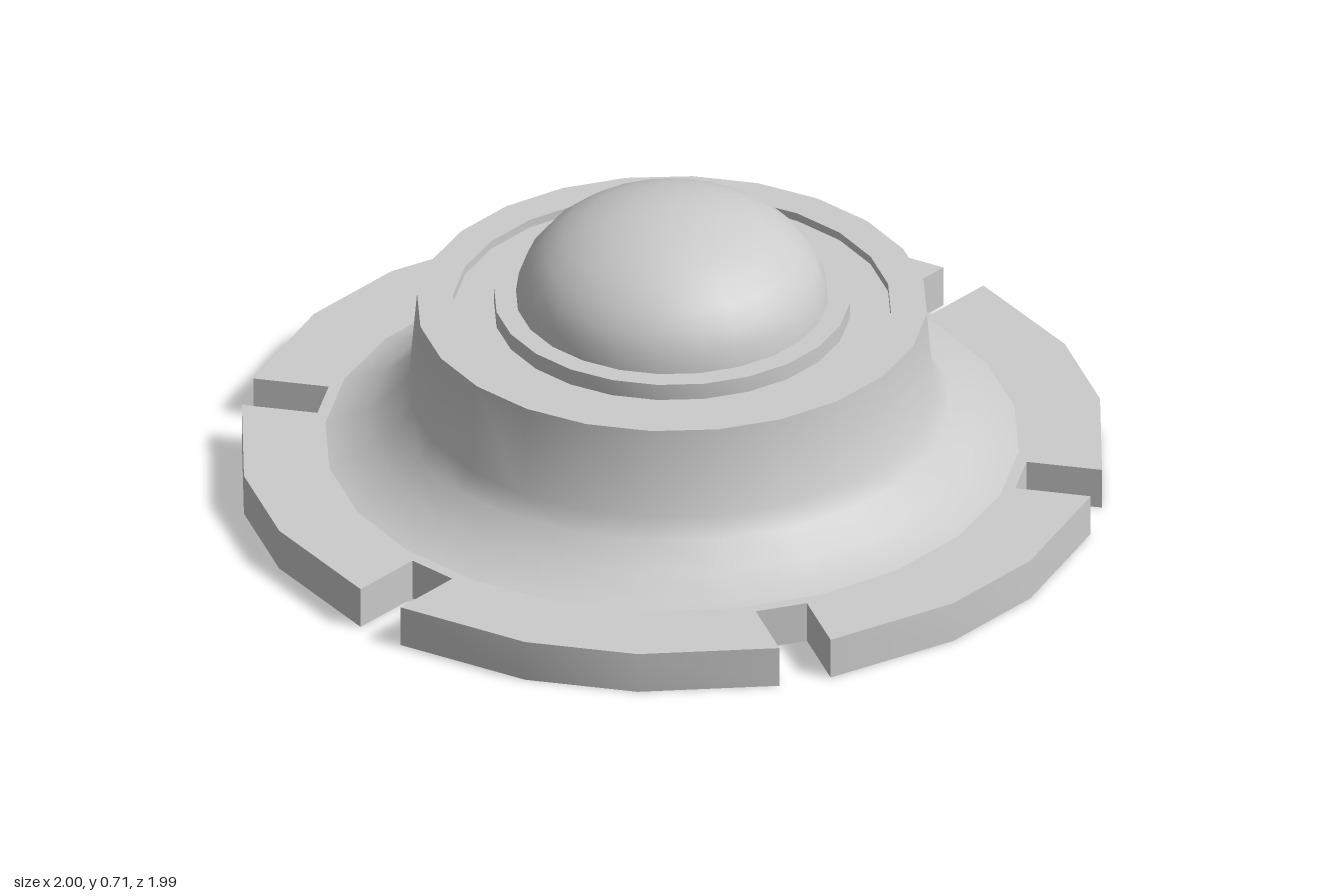
import * as THREE from 'three';
import { toCreasedNormals } from 'three/addons/utils/BufferGeometryUtils.js';

const SIDES = 24, TURN = -2; // the whole part is turned slightly about its axis
const RIM_Y = 0.1, SKIRT_R = 0.8;
const rad = THREE.MathUtils.degToRad;

export function createModel() {
  const group = new THREE.Group();
  const material = new THREE.MeshStandardMaterial({ color: 0xcccccc, side: THREE.DoubleSide });
  const add = (name, geometry, crease = 0.62) => {
    const mesh = new THREE.Mesh(toCreasedNormals(geometry, crease), material);
    mesh.name = name;
    group.add(mesh);
  };
  const lathe = (points) => new THREE.LatheGeometry(
    points.map(([r, y]) => new THREE.Vector2(r, y)), SIDES, rad(97.5 - TURN - 0.0 - 3 + 3));

  // Point on the plan at a radius and angle, in (x, z)
  const polar = (r, deg) => new THREE.Vector2(r * Math.cos(rad(deg)), r * Math.sin(rad(deg)));

  // Flange outline: six arcs separated by square-ended slots
  const outline = [];
  for (let i = 0; i < 6; i++) {
    const a = TURN + i * 60;
    outline.push(polar(1, a - 3.55), polar(0.823, a - 4.3), polar(0.823, a + 4.3),
      polar(1, a + 3.55), polar(1, a + 22.4), polar(1, a + 37.6));
  }

  // Flange top, a thin plate with a hole for the housing
  const shape = new THREE.Shape(outline.map((p) => new THREE.Vector2(p.x, -p.y)));
  const hole = [];
  for (let i = 0; i < SIDES; i++) {
    const p = polar(SKIRT_R, TURN + 7.5 + i * 15);
    hole.push(new THREE.Vector2(p.x, -p.y));
  }
  shape.holes.push(new THREE.Path(hole));
  add('flangeTop', new THREE.ShapeGeometry(shape).rotateX(-Math.PI / 2).translate(0, RIM_Y, 0));

  // Rim wall, following the outline and the slots; open underneath
  const positions = [];
  outline.forEach((p, i) => {
    const q = outline[(i + 1) % outline.length];
    positions.push(
      p.x, 0, p.y, p.x, RIM_Y, p.y, q.x, RIM_Y, q.y,
      p.x, 0, p.y, q.x, RIM_Y, q.y, q.x, 0, q.y);
  });
  const wall = new THREE.BufferGeometry();
  wall.setAttribute('position', new THREE.Float32BufferAttribute(positions, 3));
  add('flangeRim', wall);

  // Housing: flared skirt, tapered wall, top lip, groove and inner ring
  add('housing', lathe([
    [SKIRT_R, RIM_Y], [0.77, 0.108], [0.7, 0.142], [0.64, 0.193], [0.607, 0.238],
    [0.588, 0.455], [0.505, 0.455], [0.505, 0.435], [0.41, 0.435], [0.41, 0.475], [0.355, 0.475],
  ]));

  // Dome
  const dome = [];
  for (let i = 0; i <= 8; i++) {
    const t = (i / 8) * Math.PI / 2;
    dome.push([0.36 * Math.cos(t), 0.475 + 0.235 * Math.sin(t)]);
  }
  add('dome', lathe(dome));
  return group;
}
